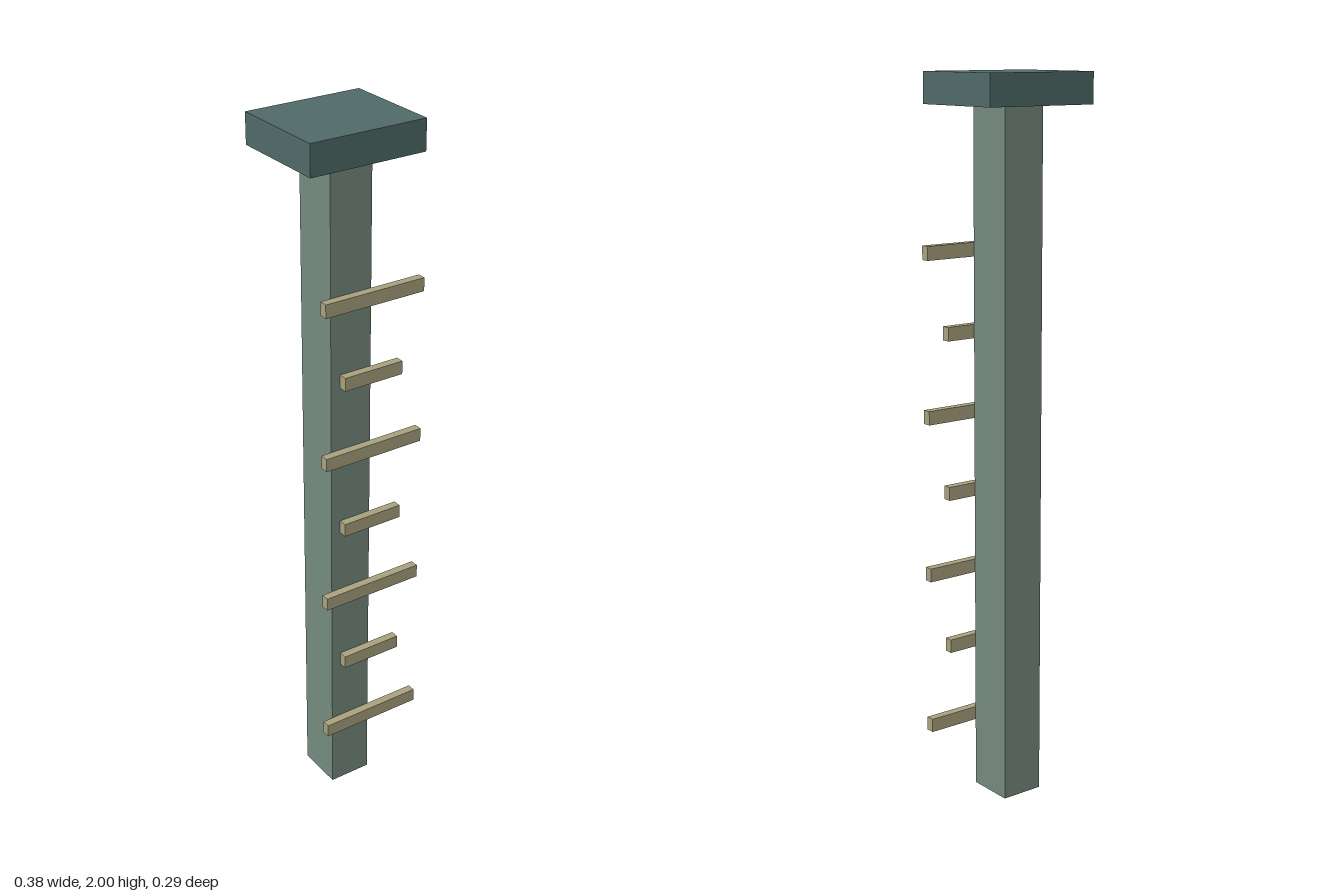
import * as THREE from 'three';

function makeMaterial(name, color) {
  const material = new THREE.MeshStandardMaterial({ color });
  material.name = name;
  return material;
}

export function createModel() {
  const model = new THREE.Group();
  model.name = 'peggedPost';
  const postGreen = makeMaterial('sageGreen', 0x748a7e);
  const capGreen = makeMaterial('darkTeal', 0x4f6a67);
  const rungTan = makeMaterial('tan', 0xa8a07c);

  const addBox = (name, material, size, position) => {
    const mesh = new THREE.Mesh(new THREE.BoxGeometry(...size), material);
    mesh.name = name;
    mesh.position.set(...position);
    model.add(mesh);
  };

  // Square post under a wide flat cap
  const postX = -0.023;
  addBox('post', postGreen, [0.124, 1.916, 0.136], [postX, 0.958, 0]);
  addBox('cap', capGreen, [0.336, 0.084, 0.288], [postX, 1.958, 0]);

  // Alternating long and short rungs on the front face
  for (let i = 0; i < 7; i++) {
    const long = i % 2 === 0;
    addBox(long ? 'longRung' : 'shortRung', rungTan,
      [long ? 0.305 : 0.181, 0.038, 0.024],
      [long ? 0.037 : 0.034, 0.214 + i * 0.2205, 0.08]);
  }
  return model;
}
